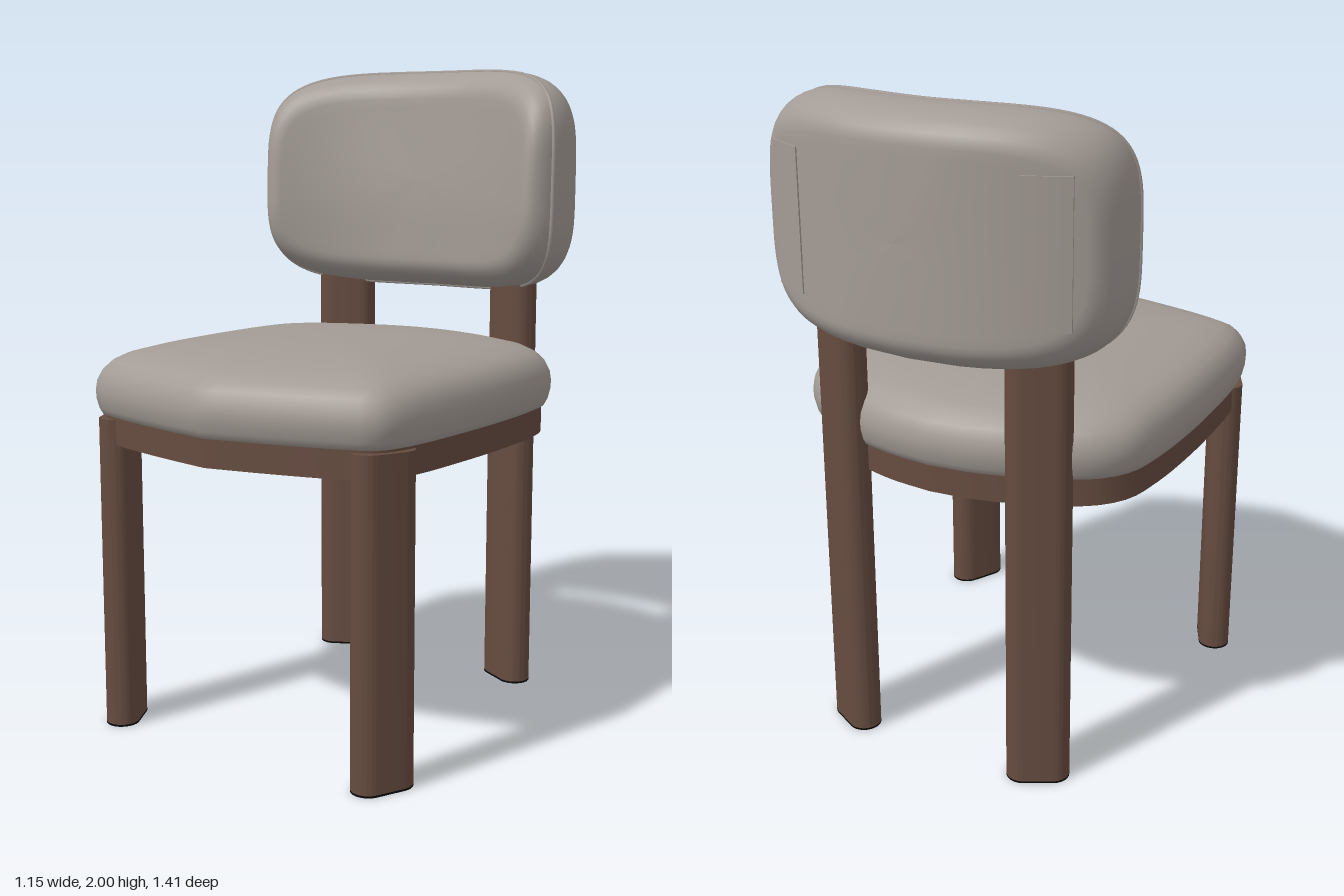
import * as THREE from 'three';
import { toCreasedNormals } from 'three/addons/utils/BufferGeometryUtils.js';

const mat = (name, color) => {
  const m = new THREE.MeshStandardMaterial({ color });
  m.name = name;
  return m;
};

// Smooth closed skin over rings of equal point count; first and last rings shrink to a point
function loft(rings) {
  const n = rings[0].length, pos = [], idx = [];
  rings.forEach(r => r.forEach(p => pos.push(p.x, p.y, p.z)));
  for (let i = 0; i < rings.length - 1; i++) {
    for (let j = 0; j < n; j++) {
      const a = i * n + j, b = i * n + (j + 1) % n;
      if (i > 0) idx.push(a, b, b + n);
      if (i < rings.length - 2) idx.push(a, b + n, a + n);
      else idx.push(a, b, a + n);
    }
  }
  const g = new THREE.BufferGeometry();
  g.setAttribute('position', new THREE.Float32BufferAttribute(pos, 3));
  g.setIndex(idx);
  g.computeVertexNormals();
  return g;
}

// Extrude a plan shape (x, -z) upwards
function extrudeUp(shape, y0, y1) {
  const g = new THREE.ExtrudeGeometry(shape, { depth: y1 - y0, bevelEnabled: false, curveSegments: 12 });
  g.rotateX(-Math.PI / 2);
  g.translate(0, y0, 0);
  return toCreasedNormals(g, 0.6);
}

// Seat plan: half outline from the front point round to the back, then mirrored
const half = new THREE.CatmullRomCurve3([
  [0, 0.705], [0.2, 0.665], [0.42, 0.607], [0.505, 0.57], [0.538, 0.5], [0.556, 0.4], [0.569, 0.22], [0.575, 0.02],
  [0.567, -0.2], [0.54, -0.35], [0.47, -0.44], [0.33, -0.512], [0.15, -0.568], [0, -0.585],
].map(([x, z]) => new THREE.Vector3(x, 0, z))).getSpacedPoints(48);
const plan = [...half, ...half.slice(1, -1).reverse().map(p => new THREE.Vector3(-p.x, 0, p.z))];
const planRing = (k, y) => plan.map(p => new THREE.Vector3(p.x * k, y, 0.06 + (p.z - 0.06) * k));
const planPoints = k => planRing(k, 0).map(p => new THREE.Vector2(p.x, -p.z));

// Backrest: a cushion following an arc. s runs along the arc, d is depth towards the front
const R = 0.84, CY = 1.645, W = 0.59, H = 0.35, INSET = 0.09, DEPTH = 0.142;
function bend(s, y, d) {
  const lean = 1 - 0.25 * THREE.MathUtils.smoothstep(y, 1.5, 2.05);
  const depth = d > 0 ? d * lean : d, a = s / R, tilt = a * 0.25;
  return new THREE.Vector3(
    R * Math.sin(a) - depth * Math.sin(tilt), y, 0.275 - R * Math.cos(a) + depth * Math.cos(tilt));
}
function backRing(inset, k, d, n = 96) {
  const out = [];
  for (let i = 0; i < n; i++) {
    const t = i / n * Math.PI * 2, c = Math.cos(t), s = Math.sin(t);
    out.push(bend(
      Math.sign(c) * Math.sqrt(Math.abs(c)) * (W - inset) * k,
      CY + Math.sign(s) * Math.sqrt(Math.abs(s)) * (H - inset) * k, d));
  }
  return out;
}

export function createModel() {
  const group = new THREE.Group();
  const fabric = mat('warm grey fabric', 0xa39b95);
  const wood = mat('brown wood', 0x664c40);
  const under = mat('dark underside', 0x564238);
  const black = mat('black foot', 0x080808);
  const add = (name, geo, material, parent = group) => {
    const m = new THREE.Mesh(geo, material);
    m.name = name;
    parent.add(m);
    return m;
  };

  // Seat cushion
  add('seatCushion', loft([
    [0, 0.96], [0.6, 0.96], [0.95, 0.96], [0.972, 0.966], [0.987, 0.985], [0.998, 1.015], [1, 1.04],
    [0.993, 1.07], [0.97, 1.1], [0.93, 1.125], [0.87, 1.144], [0.75, 1.163], [0.5, 1.181],
    [0.25, 1.189], [0, 1.191],
  ].map(([k, y]) => planRing(k, y))), fabric);

  // Seat frame ring and recessed panel
  const rim = new THREE.Shape(planPoints(0.957));
  rim.holes.push(new THREE.Path(planPoints(0.86)));
  add('seatFrame', extrudeUp(rim, 0.88, 0.962), wood);
  add('undersidePanel', extrudeUp(new THREE.Shape(planPoints(0.87)), 0.945, 0.955), under);

  // Backrest cushion: flat back, rounded rim, flat front
  const faceScales = [0, 0.15, 0.3, 0.45, 0.6, 0.75, 0.9];
  const rings = faceScales.map(k => backRing(INSET, k, -DEPTH));
  for (let i = 0; i <= 16; i++) {
    const t = -Math.PI / 2 + Math.PI * i / 16;
    rings.push(backRing(INSET * (1 - Math.cos(t)), 1, DEPTH * Math.sin(t)));
  }
  rings.push(...faceScales.reverse().map(k => backRing(INSET, k, DEPTH)));
  add('backrestCushion', loft(rings), fabric);

  // Piping around the backrest
  const seam = new THREE.CatmullRomCurve3(backRing(0.004, 1, 0.03, 64), true);
  add('backrestPiping', new THREE.TubeGeometry(seam, 160, 0.008, 6, true), fabric);

  // Stadium leg section
  const legR = 0.05, legS = 0.044;
  const section = new THREE.Shape();
  section.absarc(legS, 0, legR, -Math.PI / 2, Math.PI / 2);
  section.absarc(-legS, 0, legR, Math.PI / 2, Math.PI * 1.5);
  section.closePath();
  const footGeo = extrudeUp(section, 0, 0.006);
  const legs = [
    ['front', 0.474, 0.5, 1.11, 0.955],
    ['back', 0.3225, -0.5, -0.5, 1.5],
  ];

  for (const [side, sx] of [['Left', 1], ['Right', -1]]) {
    // Legs, turned to follow the corners of the seat
    for (const [name, x, z, turn, top] of legs) {
      const leg = new THREE.Group();
      leg.name = name + side + 'Leg';
      leg.position.set(sx * x, 0, z);
      leg.rotation.y = sx * turn;
      add(name + side + 'Post', extrudeUp(section, 0.006, top), wood, leg);
      add(name + side + 'Foot', footGeo, black, leg);
      group.add(leg);
    }
    // Thin raised patch on the rear of the backrest
    const patch = new THREE.BoxGeometry(0.13, 0.41, 0.009, 8, 1, 1);
    const p = patch.attributes.position;
    for (let i = 0; i < p.count; i++) {
      const v = bend(p.getX(i) + sx * 0.4, p.getY(i) + CY, p.getZ(i) - DEPTH);
      p.setXYZ(i, v.x, v.y, v.z);
    }
    patch.computeVertexNormals();
    add('back' + side + 'Patch', patch, fabric);
  }
  return group;
}
